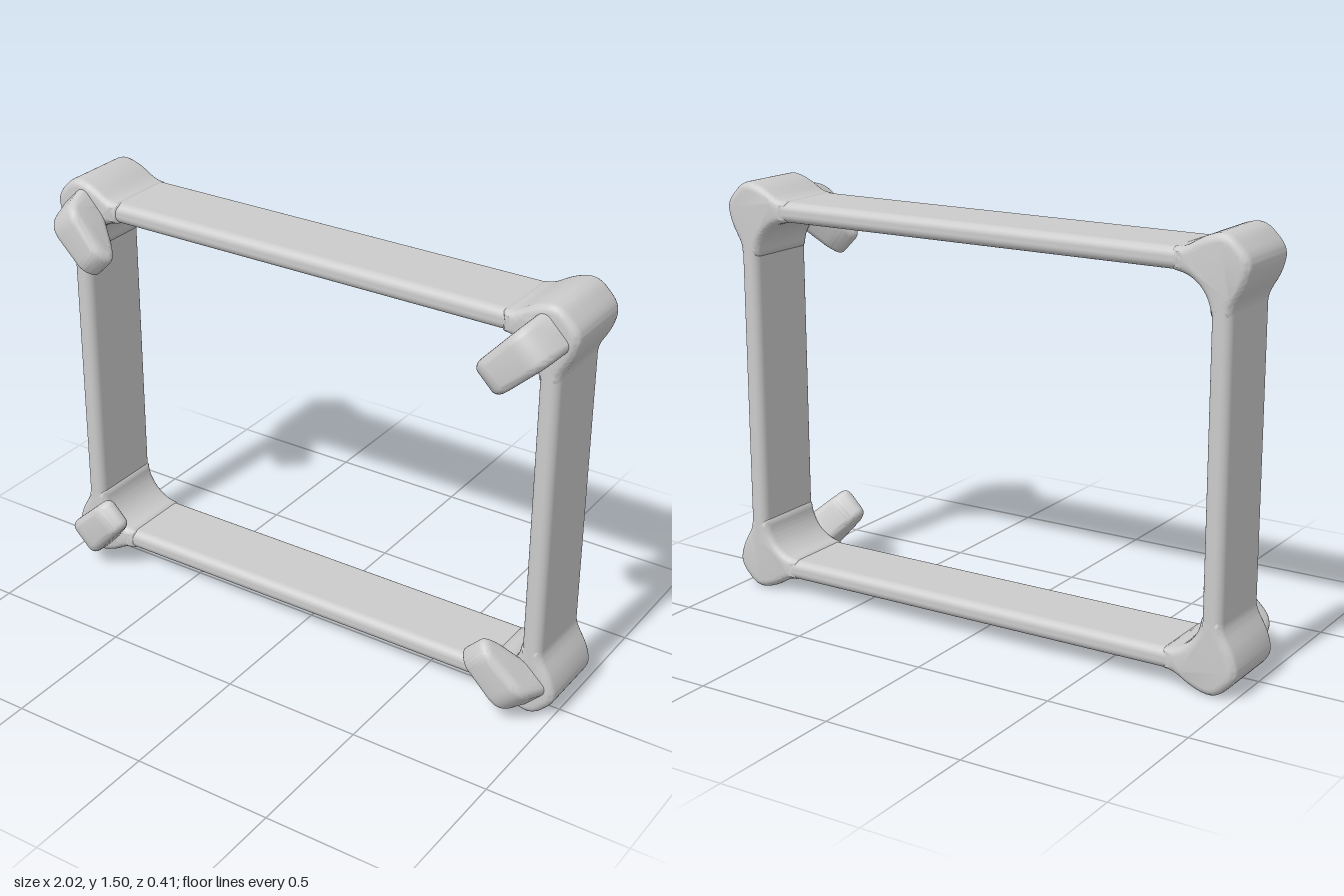
import * as THREE from 'three';
import { toCreasedNormals } from 'three/addons/utils/BufferGeometryUtils.js';
import { RoundedBoxGeometry } from 'three/addons/geometries/RoundedBoxGeometry.js';

const material = new THREE.MeshStandardMaterial({ color: 0xcccccc });
const CX = 0.915, CY = 0.655, MID = 0.745; // corner centres and mid height

// Closed polygon whose corners [x, y, radius] are rounded off
function roundedShape(points) {
  const shape = new THREE.Shape();
  const n = points.length;
  const v = points.map(([x, y]) => new THREE.Vector2(x, y));
  const toward = (a, b, r) =>
    a.clone().lerp(b, Math.min(0.48, r / a.distanceTo(b)));
  v.forEach((p, i) => {
    const start = toward(p, v[(i + n - 1) % n], points[i][2]);
    const end = toward(p, v[(i + 1) % n], points[i][2]);
    if (i === 0) shape.moveTo(start.x, start.y);
    else shape.lineTo(start.x, start.y);
    shape.quadraticCurveTo(p.x, p.y, end.x, end.y);
  });
  shape.closePath();
  return shape;
}

// Extrusion of exact outer size, spanning z = from .. to, with soft edges
function softExtrude(shape, from, to, bevel) {
  const geometry = new THREE.ExtrudeGeometry(shape, {
    depth: to - from - 2 * bevel,
    bevelThickness: bevel,
    bevelSize: bevel,
    bevelOffset: -bevel,
    bevelSegments: 5,
    curveSegments: 8,
  });
  return geometry.translate(0, 0, from + bevel);
}

function addMesh(parent, name, geometry) {
  const mesh = new THREE.Mesh(geometry, material);
  mesh.name = name;
  parent.add(mesh);
  return mesh;
}

// Flared joint where two rails meet, drawn for the upper +x corner
function jointGeometry() {
  const shape = roundedShape([
    [-0.17, 0.036, 0.01],
    [-0.13, 0.04, 0.03],
    [-0.055, 0.085, 0.04],
    [0.02, 0.1, 0.045],
    [0.1, 0.02, 0.045],
    [0.085, -0.055, 0.04],
    [0.04, -0.13, 0.03],
    [0.036, -0.17, 0.01],
    [-0.036, -0.17, 0.01],
    [-0.045, -0.12, 0.03],
    [-0.075, -0.075, 0.04],
    [-0.12, -0.045, 0.03],
    [-0.17, -0.036, 0.01],
  ]);
  return toCreasedNormals(softExtrude(shape, -0.205, 0.085, 0.028), 0.9);
}

// Hooked claw: side profile (x = outward along the diagonal, y = depth)
function clawGeometry() {
  const shape = roundedShape([
    [0.068, -0.203, 0.035],
    [0.068, 0.0, 0.07],
    [-0.005, 0.2, 0.06],
    [-0.2, 0.207, 0.03],
    [-0.25, 0.16, 0.035],
    [-0.2, 0.115, 0.03],
    [-0.09, 0.065, 0.03],
    [-0.06, -0.203, 0.02],
  ]);
  const geometry = softExtrude(shape, -0.072, 0.072, 0.03);
  // Narrow the claw toward its tip
  const pos = geometry.attributes.position;
  for (let i = 0; i < pos.count; i++) {
    const t = THREE.MathUtils.clamp(-pos.getX(i) / 0.24, 0, 1);
    pos.setZ(i, pos.getZ(i) * (1 - 0.15 * t));
  }
  // Depth becomes z, width lies across the diagonal
  geometry.rotateX(Math.PI / 2);
  geometry.scale(1, 1, 1);
  geometry.rotateZ(Math.PI / 4);
  return toCreasedNormals(geometry, 0.9);
}

export function createModel() {
  const model = new THREE.Group();
  model.name = 'frame';

  // Flat rails with rounded edges
  const horizontal = new RoundedBoxGeometry(2 * CX - 0.1, 0.072, 0.28, 5, 0.03);
  const vertical = new RoundedBoxGeometry(0.072, 2 * CY - 0.1, 0.29, 5, 0.03);
  addMesh(model, 'topRail', horizontal).position.set(0, MID + CY, -0.063);
  addMesh(model, 'bottomRail', horizontal).position.set(0, MID - CY, -0.063);
  addMesh(model, 'leftRail', vertical).position.set(CX + 0.002, MID, -0.06);
  addMesh(model, 'rightRail', vertical).position.set(-CX - 0.002, MID, -0.06);

  // Four corners, each a quarter turn from the last
  const joint = jointGeometry();
  const claw = clawGeometry();
  const corners = [
    ['topLeftCorner', 1, 1],
    ['topRightCorner', -1, 1],
    ['bottomRightCorner', -1, -1],
    ['bottomLeftCorner', 1, -1],
  ];
  corners.forEach(([name, sx, sy], i) => {
    const corner = new THREE.Group();
    corner.name = name;
    addMesh(corner, 'joint', joint);
    addMesh(corner, 'claw', claw);
    corner.position.set(sx * CX, MID + sy * CY, 0);
    corner.rotation.z = (i * Math.PI) / 2;
    model.add(corner);
  });
  return model;
}
